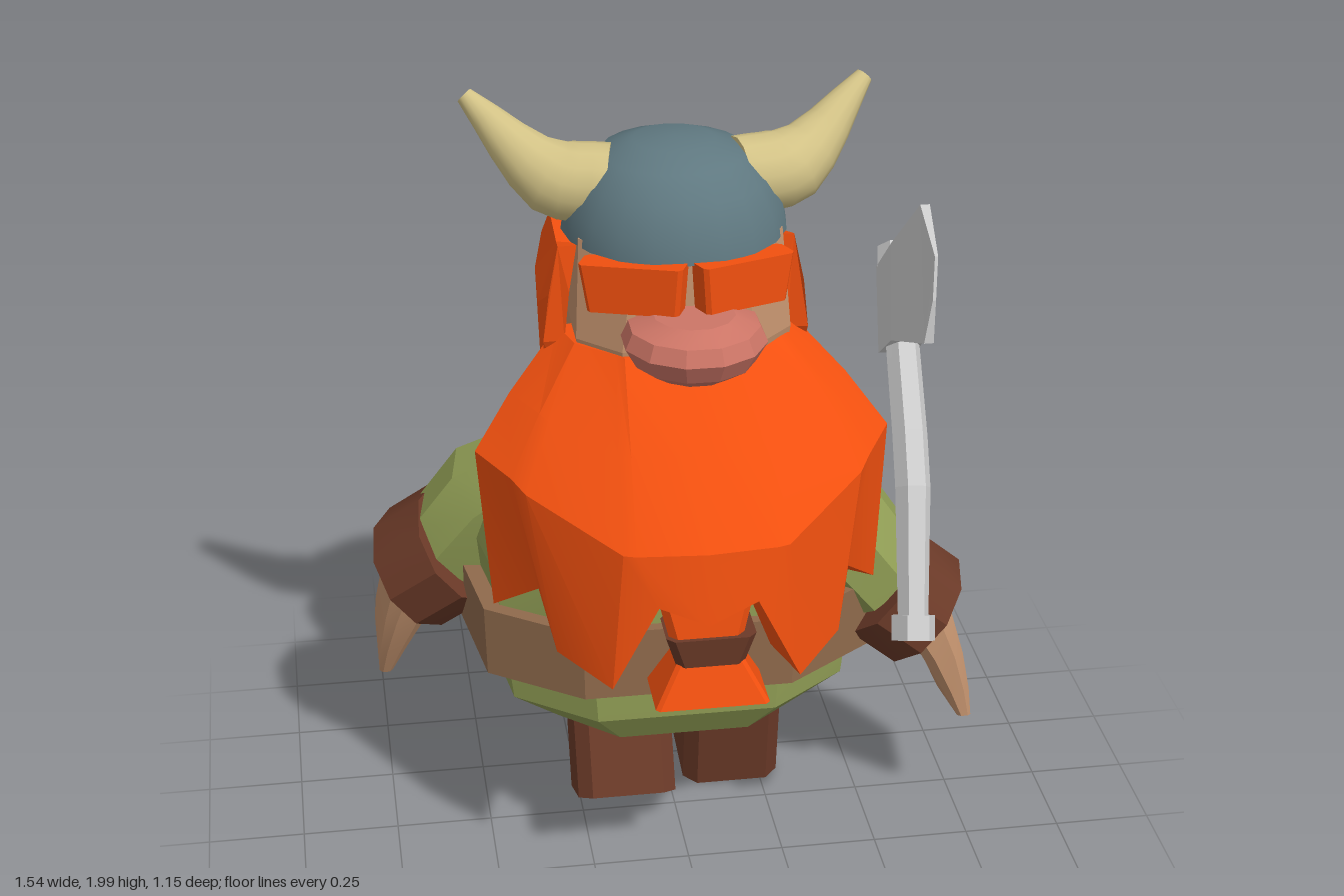
import * as THREE from 'three';
import { toCreasedNormals } from 'three/addons/utils/BufferGeometryUtils.js';

const ORANGE = 0xf2500f, GREEN = 0x8f9c54, BELT = 0x8f6a4c, BROWN = 0x6b3a28;
const SKIN = 0xc0906c, NOSE = 0xcc7566, STEEL = 0x5f7880, HORN = 0xd2c286, GREY = 0xcccccc;
const V = (x, y, z) => new THREE.Vector3(x, y, z);

// Solid through rings of equal point count; the winding is turned outward by its volume.
function loft(rings, crease = 0.05, capped = true) {
  const n = rings[0].length, tris = [];
  for (let i = 0; i < rings.length - 1; i++) {
    for (let j = 0; j < n; j++) {
      const k = (j + 1) % n, a = rings[i], b = rings[i + 1];
      tris.push([a[j], b[j], b[k]], [a[j], b[k], a[k]]);
    }
  }
  const first = rings[0], last = rings[rings.length - 1];
  for (let j = 1; capped && j < n - 1; j++) {
    tris.push([first[0], first[j], first[j + 1]], [last[0], last[j + 1], last[j]]);
  }
  const cross = new THREE.Vector3();
  const volume = tris.reduce((s, [a, b, c]) => s + a.dot(cross.crossVectors(b, c)), 0);
  const pts = tris.flatMap(t => (volume < 0 ? [t[0], t[2], t[1]] : t));
  return toCreasedNormals(new THREE.BufferGeometry().setFromPoints(pts), crease);
}

// Tapered limb along points with one radius each; wide stretches it sideways
function limb(path, radii, sides = 8, crease = 0.05, wide = 1) {
  return loft(path.map((p, i) => {
    const t = path[Math.min(i + 1, path.length - 1)].clone().sub(path[Math.max(i - 1, 0)]).normalize();
    const u = V(0, 0, 1).addScaledVector(t, -t.z);
    if (u.length() < 0.2) u.set(1, 0, 0).addScaledVector(t, -t.x);
    u.normalize();
    const v = t.clone().cross(u);
    return Array.from({ length: sides }, (_, j) => {
      const a = (j + 0.5) / sides * Math.PI * 2;
      return p.clone().addScaledVector(u, Math.cos(a) * radii[i] * wide).addScaledVector(v, Math.sin(a) * radii[i]);
    });
  }), crease);
}

// Rectangular ring with cut corners, given half sizes
const ring = (x, y, z, w, d, c) => [
  [w, d - c], [w - c, d], [c - w, d], [-w, d - c], [-w, c - d], [c - w, -d], [w - c, -d], [w, c - d],
].map(([a, b]) => V(x + a, y, z + b));

// Eight-sided torso outline from half width, front z and back z
const waist = (y, w, zf, zb) => {
  const d = zf - zb;
  const half = [[0.48 * w, zf], [0.9 * w, zf - 0.2 * d], [w, zb + 0.33 * d], [0.5 * w, zb]];
  return [...half.map(([x, z]) => V(x, y, z)), ...half.reverse().map(([x, z]) => V(-x, y, z))];
};

// Thick mirrored shell from columns (centre first), each running top to bottom
function shell(cols, inner, crease) {
  const side = s => cols.map(col => {
    const outer = col.map(([x, y, z]) => V(s * x, y, z));
    return [...outer, ...outer.map(inner).reverse()];
  });
  return loft([...side(-1).reverse(), ...side(1).slice(1)], crease);
}

export function createModel() {
  const model = new THREE.Group();
  const mats = {};
  const add = (name, geo, color) => {
    mats[color] ??= new THREE.MeshStandardMaterial({ color, side: THREE.DoubleSide });
    const mesh = new THREE.Mesh(geo, mats[color]);
    mesh.name = name;
    model.add(mesh);
    return mesh;
  };

  // Tunic and belt
  add('tunic', loft([
    waist(0.345, 0.35, 0.17, -0.48), waist(0.43, 0.48, 0.22, -0.54), waist(0.8, 0.525, 0.22, -0.54),
    waist(0.95, 0.48, 0.2, -0.485), waist(1.07, 0.41, 0.15, -0.43), waist(1.2, 0.3, 0.08, -0.35),
    waist(1.28, 0.21, 0.04, -0.29),
  ], 0.35), GREEN);
  add('belt', loft([waist(0.52, 0.555, 0.25, -0.575), waist(0.71, 0.56, 0.25, -0.58)]), BELT);

  // Hollow trouser legs in mid stride
  for (const [name, x, y, z, tilt] of [['rightLeg', -0.14, 0.065, -0.01, -0.43], ['leftLeg', 0.17, 0.03, -0.215, 0.15]]) {
    const leg = add(name, loft([ring(0, 0, 0, 0.13, 0.135, 0.035), ring(0, 0.45, 0, 0.13, 0.135, 0.035)], 0.05, false), BROWN);
    leg.position.set(x, y, z);
    leg.rotation.x = tilt;
  }

  // Arms: sleeve, cuff and flat curved hand; swing moves the arm along z
  for (const [side, s, lift, swing, reach] of [['left', 1, 0, 0, 0.05], ['right', -1, 0.04, -0.31, -0.1]]) {
    const at = (x, y, z, k) => V(s * x, y + lift, z + swing * k);
    add(side + 'Sleeve', limb([at(0.33, 0.9, -0.05, 0.55), at(0.44, 0.81, -0.04, 0.75), at(0.56, 0.66, -0.01, 0.95)],
      [0.13, 0.155, 0.14], 8, 0.35, 1.1), GREEN);
    add(side + 'Cuff', limb([at(0.535, 0.67, -0.01, 0.9), at(0.655, 0.57, -0.01, 1.07)], [0.165, 0.165], 10, 0.7, 1.17), BROWN);
    const hand = [[0.635, 0.61, 0, 0.08, 0.15], [0.69, 0.49, 0.35, 0.055, 0.145], [0.728, 0.38, 0.7, 0.035, 0.13], [0.75, 0.3, 1, 0.018, 0.12]];
    add(side + 'Hand', loft(hand.map(([x, y, k, w, d]) => {
      const z = swing + k * reach;
      return ring(s * x, y + lift, z, w, d, w * 0.5).map(p => p.setY(p.y + s * (p.z - z) * 0.2 * k));
    }), 0.3), SKIN);
  }

  // Head
  add('head', loft([ring(0.01, 1.24, -0.09, 0.24, 0.26, 0.1), ring(0.01, 1.45, -0.09, 0.265, 0.275, 0.1),
    ring(0.01, 1.69, -0.075, 0.25, 0.23, 0.12)]), SKIN);

  // Hair wrapping the back and sides of the head
  add('hair', shell([
    [[0, 1.69, -0.34], [0, 1.58, -0.395], [0, 1.45, -0.41]],
    [[0.23, 1.68, -0.33], [0.25, 1.57, -0.385], [0.24, 1.44, -0.4]],
    [[0.26, 1.67, -0.3], [0.29, 1.55, -0.365], [0.28, 1.27, -0.31]],
    [[0.28, 1.65, -0.24], [0.32, 1.5, -0.25], [0.315, 1.24, -0.2]],
    [[0.28, 1.63, -0.1], [0.33, 1.48, -0.08], [0.32, 1.25, -0.06]],
    [[0.29, 1.67, 0.03], [0.315, 1.55, 0.04], [0.33, 1.42, 0.03]],
  ], p => V(p.x * 0.84, p.y, p.z * 0.86)), ORANGE);

  // Beard with hanging locks
  add('beard', shell([
    [[0, 1.44, 0.2], [0, 1.26, 0.385], [0, 1.08, 0.545], [0, 0.9, 0.57]],
    [[0.15, 1.44, 0.19], [0.16, 1.26, 0.375], [0.17, 1.08, 0.53], [0.12, 0.95, 0.555]],
    [[0.17, 1.44, 0.17], [0.19, 1.26, 0.36], [0.2, 1.08, 0.52], [0.23, 0.72, 0.53]],
    [[0.24, 1.44, 0.11], [0.34, 1.3, 0.23], [0.41, 1.16, 0.33], [0.35, 0.76, 0.4]],
    [[0.26, 1.44, 0.09], [0.36, 1.31, 0.2], [0.44, 1.18, 0.28], [0.385, 0.9, 0.33]],
    [[0.29, 1.44, -0.02], [0.42, 1.31, 0.07], [0.515, 1.19, 0.14], [0.485, 0.78, 0.18]],
  ], p => V(p.x * 0.8, p.y, p.z * 0.75 - 0.02), 0.35), ORANGE);

  // Braid below the beard, held by a tie
  add('braid', loft([ring(0, 1.0, 0.46, 0.13, 0.06, 0.02), ring(0, 0.84, 0.48, 0.09, 0.06, 0.02)]), ORANGE);
  add('braidTie', loft([ring(0.01, 0.85, 0.48, 0.11, 0.07, 0.02), ring(0.01, 0.77, 0.48, 0.085, 0.06, 0.02)]), BROWN);
  add('braidTip', loft([ring(0.01, 0.78, 0.48, 0.08, 0.05, 0.01), ring(0.01, 0.67, 0.485, 0.14, 0.085, 0.01)]), ORANGE);

  // Brows and nose
  for (const s of [-1, 1]) {
    const brow = add(s > 0 ? 'leftBrow' : 'rightBrow', loft([
      ring(0, -0.065, 0, 0.115, 0.035, 0.01), ring(0, 0.055, 0, 0.13, 0.035, 0.01),
    ]), ORANGE);
    brow.position.set(0.01 + s * 0.13, 1.615, 0.155);
    brow.rotation.set(0, s * 0.42, s * -0.05);
  }
  const nose = add('nose', limb([V(0, -0.077, 0), V(0, -0.045, 0), V(0, 0.005, 0), V(0, 0.045, 0), V(0, 0.07, 0)],
    [0.1, 0.15, 0.178, 0.16, 0.1], 12, 0.3), NOSE);
  nose.position.set(0.015, 1.487, 0.215);

  // Helmet dome and horns
  const dome = [[0, 1.67], [0.28, 1.67], [0.27, 1.73], [0.235, 1.8], [0.18, 1.86], [0.1, 1.89], [0, 1.897]];
  const helmet = add('helmet', toCreasedNormals(
    new THREE.LatheGeometry(dome.map(([r, y]) => new THREE.Vector2(r, y)), 20), 0.8), STEEL);
  helmet.position.set(0.01, 0, -0.085);
  for (const s of [-1, 1]) {
    const path = new THREE.CatmullRomCurve3([
      V(0.01 + s * 0.16, 1.785, -0.08), V(0.01 + s * 0.3, 1.8, -0.11), V(0.01 + s * 0.495, 1.98, -0.21),
    ]).getPoints(8);
    const radii = path.map((_, i) => Math.min(0.098, 0.022 + 0.145 * (1 - i / 8)));
    add(s > 0 ? 'leftHorn' : 'rightHorn', limb(path, radii, 14, 0.8), HORN);
  }

  // Axe: bent handle, pommel, top cap and flared blade
  const slant = (y, z) => V(0.525 + (y - 0.77) * 0.09, y, z);
  add('axeHandle', limb([slant(0.77, 0.46), slant(1.08, 0.28), slant(1.18, 0.19), slant(1.52, -0.17)],
    [0.038, 0.045, 0.045, 0.042], 6), GREY);
  add('axePommel', limb([slant(0.755, 0.47), slant(0.81, 0.44)], [0.055, 0.055], 6), GREY);
  add('axeCap', limb([slant(1.49, -0.14), slant(1.53, -0.18)], [0.05, 0.045], 6), GREY);
  // Each section: upper z, y, lower z, y, half thickness
  add('axeBlade', loft([
    [-0.15, 1.49, -0.02, 1.31, 0.05], [-0.06, 1.59, 0.06, 1.38, 0.045],
    [0.04, 1.73, 0.24, 1.45, 0.012], [0.2, 1.66, 0.235, 1.56, 0.004],
  ].map(([za, ya, zb, yb, t]) => {
    const a = slant(ya, za), b = slant(yb, zb);
    return [V(a.x - t, ya, za), V(a.x + t, ya, za), V(b.x + t, yb, zb), V(b.x - t, yb, zb)];
  })), GREY);

  return model;
}
